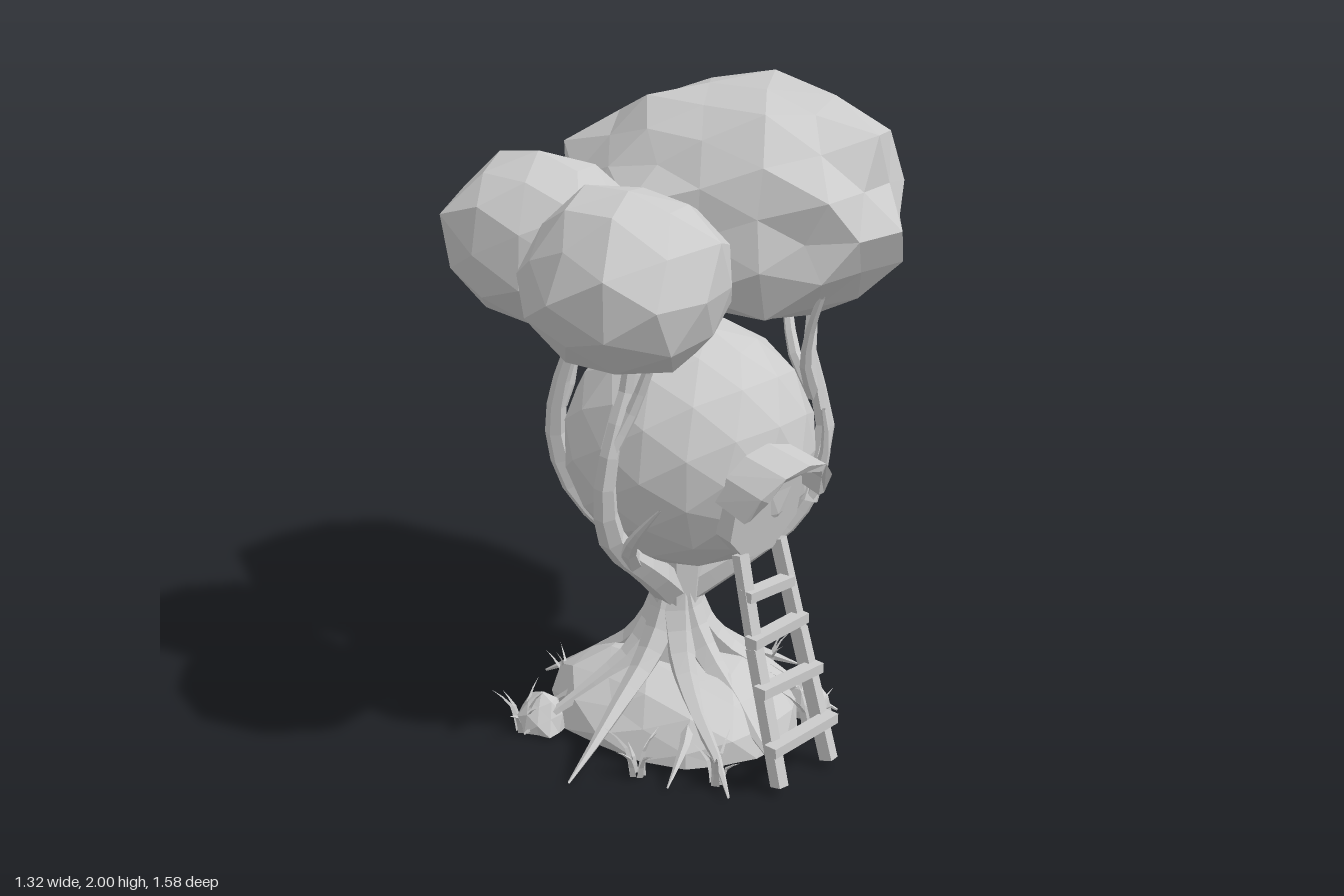
import * as THREE from 'three';
import { mergeVertices } from 'three/addons/utils/BufferGeometryUtils.js';

const V = (a) => new THREE.Vector3(...a);

function seeded(seed) {
  let s = seed * 7919 + 17;
  return () => (s = (s * 16807) % 2147483647) / 2147483647;
}

export function createModel() {
  const group = new THREE.Group();
  const mat = new THREE.MeshStandardMaterial({ color: 0xcccccc, flatShading: true });
  const thinMat = new THREE.MeshStandardMaterial({ color: 0xcccccc, flatShading: true, side: THREE.DoubleSide });

  const add = (name, geo, material = mat) => {
    const mesh = new THREE.Mesh(geo, material);
    mesh.name = name;
    group.add(mesh);
    return mesh;
  };

  // Faceted lump filling the box min..max; everything below "floor" is cut flat
  function lump(name, min, max, { detail = 1, noise = 0.1, floor = -1, seed = 1 }) {
    const rnd = seeded(seed);
    let geo = new THREE.IcosahedronGeometry(1, detail);
    geo.deleteAttribute('normal');
    geo.deleteAttribute('uv');
    geo = mergeVertices(geo, 1e-3);
    const pos = geo.attributes.position, p = new THREE.Vector3();
    for (let i = 0; i < pos.count; i++) {
      p.fromBufferAttribute(pos, i).multiplyScalar(1 + (rnd() - 0.5) * 2 * noise);
      pos.setXYZ(i, p.x, Math.max(p.y, floor), p.z);
    }
    geo.computeBoundingBox();
    const from = geo.boundingBox.min.clone();
    const scale = V(max).sub(V(min)).divide(geo.boundingBox.getSize(new THREE.Vector3()));
    geo.translate(-from.x, -from.y, -from.z).scale(scale.x, scale.y, scale.z).translate(...min);
    geo.computeVertexNormals();
    return add(name, geo);
  }

  // Tapering limb: a tube whose rings shrink from r0 to r1
  function limb(name, points, r0, r1, sides = 6) {
    const segs = (points.length - 1) * 2;
    const curve = new THREE.CatmullRomCurve3(points.map(V), false, 'centripetal');
    const geo = new THREE.TubeGeometry(curve, segs, 1, sides);
    const pos = geo.attributes.position, p = new THREE.Vector3();
    for (let i = 0; i <= segs; i++) {
      const c = curve.getPointAt(i / segs);
      const r = r0 + (r1 - r0) * (i / segs);
      for (let j = 0; j <= sides; j++) {
        const k = i * (sides + 1) + j;
        p.fromBufferAttribute(pos, k).sub(c).multiplyScalar(r).add(c);
        pos.setXYZ(k, p.x, p.y, p.z);
      }
    }
    geo.computeVertexNormals();
    return add(name, geo, thinMat);
  }

  // Leaf crowns
  lump('backCrown', [-0.67, 1.31, -0.79], [0.53, 2, 0.18], { detail: 2, noise: 0.1, floor: -0.78, seed: 5 });
  lump('frontCrownRight', [-0.57, 1.36, 0.04], [0.02, 1.85, 0.6], { noise: 0.07, floor: -0.85, seed: 3 });
  lump('frontCrownLeft', [-0.07, 1.36, 0.15], [0.54, 1.85, 0.79], { noise: 0.07, floor: -0.85, seed: 8 });

  // Round cabin
  add('cabin', new THREE.IcosahedronGeometry(0.39, 2)).position.set(0.1, 0.96, 0.07);

  // Ground mound and stones
  lump('mound', [-0.38, 0.02, -0.28], [0.46, 0.25, 0.44], { detail: 2, noise: 0.05, floor: 0, seed: 4 });
  [[-0.2, 0.45, 0.09, 0.13], [-0.28, -0.25, 0.1, 0.12], [0.34, -0.21, 0.09, 0.12]]
    .forEach(([x, z, r, h], i) => lump('stone', [x - r, 0.01, z - r], [x + r, h, z + r * 0.8],
      { noise: 0.12, floor: 0, seed: 20 + i }));

  // Trunk
  limb('trunk', [[0.05, 0.1, 0.08], [0.05, 0.28, 0.08], [0.05, 0.42, 0.08]], 0.16, 0.075, 8);
  limb('trunkNeck', [[0.05, 0.36, 0.08], [0.05, 0.48, 0.08], [0.05, 0.58, 0.08]], 0.078, 0.1, 8);

  // Roots spreading over the mound, every other one with a thin side root
  const rnd = seeded(11);
  const rootCount = 9;
  for (let i = 0; i < rootCount; i++) {
    const a = (i / rootCount) * Math.PI * 2 + (rnd() - 0.5) * 0.2;
    const s = 0.92 + rnd() * 0.14;
    const bend = (rnd() - 0.5) * 0.3;
    const at = (r, y, turn = 0) =>
      [0.05 + Math.cos(a + turn) * r * s, y, 0.08 + Math.sin(a + turn) * r * s];
    limb('root', [at(0.02, 0.46), at(0.06, 0.36), at(0.15, 0.25), at(0.29, 0.16, bend * 0.5),
      at(0.43, 0.08, bend), at(0.55, 0.012, bend)], 0.062, 0.004, 5);
    if (i % 2) limb('sideRoot', [at(0.25, 0.17, bend * 0.4), at(0.36, 0.1, bend + 0.2),
      at(0.48, 0.015, bend + 0.33)], 0.03, 0.003, 5);
  }

  // Branch hugging the cabin from one angle and height to another, flaring out at its tip
  function branch(a0, y0, a1, y1, flare, r0, r1, fromTrunk = false) {
    const steps = fromTrunk ? 5 : 3;
    const points = fromTrunk ? [[0.05, 0.43, 0.08]] : [];
    for (let i = 0; i <= steps; i++) {
      const t = i / steps;
      const a = a0 + (a1 - a0) * t, y = y0 + (y1 - y0) * t;
      const r = Math.sqrt(0.176 - (Math.min(y, 1.2) - 0.96) ** 2) + flare * t * t;
      points.push([0.1 + Math.cos(a) * r, y, 0.07 + Math.sin(a) * r]);
    }
    limb('branch', points, r0, r1);
  }
  // Main branches: front, right front, right back, left back
  branch(1.55, 0.58, 1.32, 1.42, 0, 0.06, 0.016, true);
  branch(2.75, 0.58, 2.4, 1.42, 0.03, 0.06, 0.016, true);
  branch(3.95, 0.58, 4.06, 1.42, 0.14, 0.06, 0.018, true);
  branch(-0.85, 0.58, -0.76, 1.06, 0, 0.06, 0.008, true);
  // Forks
  branch(1.42, 1.05, 1.05, 1.42, 0, 0.025, 0.012);
  branch(1.53, 0.63, 1.01, 0.91, 0.03, 0.036, 0.004);
  branch(2.56, 1.05, 2.73, 1.46, 0.17, 0.028, 0.014);
  branch(4.0, 1.03, 3.68, 1.42, 0.14, 0.028, 0.014);
  branch(-0.83, 0.75, -1.3, 1.42, 0.12, 0.04, 0.015);
  branch(-1.07, 1.06, -1.6, 1.42, 0.1, 0.025, 0.012);
  branch(-1.07, 1.06, -0.75, 1.42, 0.05, 0.025, 0.012);

  // Door leaf: an eight-sided panel turned to face +x
  const doorShape = new THREE.Shape();
  for (let i = 0; i < 8; i++) {
    const a = ((i + 0.5) / 8) * Math.PI * 2;
    doorShape.lineTo(Math.cos(a) * 0.16, Math.sin(a) * 0.165);
  }
  // Drop the starting point at the centre
  doorShape.curves.shift();
  const doorGeo = new THREE.ExtrudeGeometry(doorShape, { depth: 0.06, bevelEnabled: false });
  doorGeo.rotateY(Math.PI / 2).rotateZ(-0.2);
  add('door', doorGeo).position.set(0.405, 0.86, 0.12);

  // Arched hood over the door, its front lip leaning outward with height
  const arc = (rx, ry) => Array.from({ length: 7 }, (_, i) => {
    const a = (i / 6) * Math.PI;
    return new THREE.Vector2(-Math.cos(a) * rx, 0.89 + Math.sin(a) * ry);
  });
  const hoodShape = new THREE.Shape([...arc(0.17, 0.16), ...arc(0.145, 0.135).reverse()]);
  const hoodGeo = new THREE.ExtrudeGeometry(hoodShape, { depth: 1, bevelEnabled: false });
  hoodGeo.rotateY(Math.PI / 2);
  const hp = hoodGeo.attributes.position;
  for (let i = 0; i < hp.count; i++) {
    const y = hp.getY(i), z = hp.getZ(i), front = hp.getX(i) > 0.5;
    const ragged = 0.012 * Math.sin(z * 70);
    hp.setXYZ(i, front ? 0.52 + (y - 0.87) * 0.58 + ragged : 0.41, front ? y - 0.015 : y + 0.02, z + 0.12);
  }
  hoodGeo.computeVertexNormals();
  add('doorHood', hoodGeo, thinMat);

  // Square beam between two points
  function beam(name, a, b, w, d) {
    const from = V(a), to = V(b);
    const mesh = add(name, new THREE.BoxGeometry(w, d, from.distanceTo(to)));
    mesh.position.copy(from).add(to).multiplyScalar(0.5);
    mesh.lookAt(to);
  }

  // Ladder
  for (const side of [-1, 1]) {
    const z = (w) => 0.115 + side * w;
    beam('ladderRail', [0.43, 0.72, z(0.085)], [0.51, 0.42, z(0.1)], 0.035, 0.04);
    beam('ladderRail', [0.505, 0.44, z(0.1)], [0.625, 0.025, z(0.115)], 0.035, 0.045);
  }
  [[0.475, 0.6, 0.1], [0.515, 0.475, 0.12], [0.565, 0.325, 0.135], [0.62, 0.16, 0.145]].forEach(([x, y, w], i) => {
    const tilt = i % 2 ? 0.004 : -0.004;
    beam('ladderRung', [x, y + tilt, 0.125 - w], [x, y - tilt, 0.125 + w], 0.045, 0.032);
  });

  // Grass tufts of curved, pointed blades
  [[0.24, 0.45], [0.45, 0.32], [-0.22, 0.5], [0.45, -0.12], [-0.3, 0.22], [0.1, -0.3]].forEach(([x, z]) => {
    for (let i = 0; i < 6; i++) {
      const a = i * 1.05 + rnd(), h = 0.09 + rnd() * 0.08, lean = 0.04 + rnd() * 0.05;
      const at = (r, y) => [x + Math.cos(a) * r, y, z + Math.sin(a) * r];
      limb('grassBlade', [at(0.015, 0.005), at(lean * 0.5, h * 0.65), at(lean * 1.3, h)], 0.012, 0, 3);
    }
  });

  return group;
}
